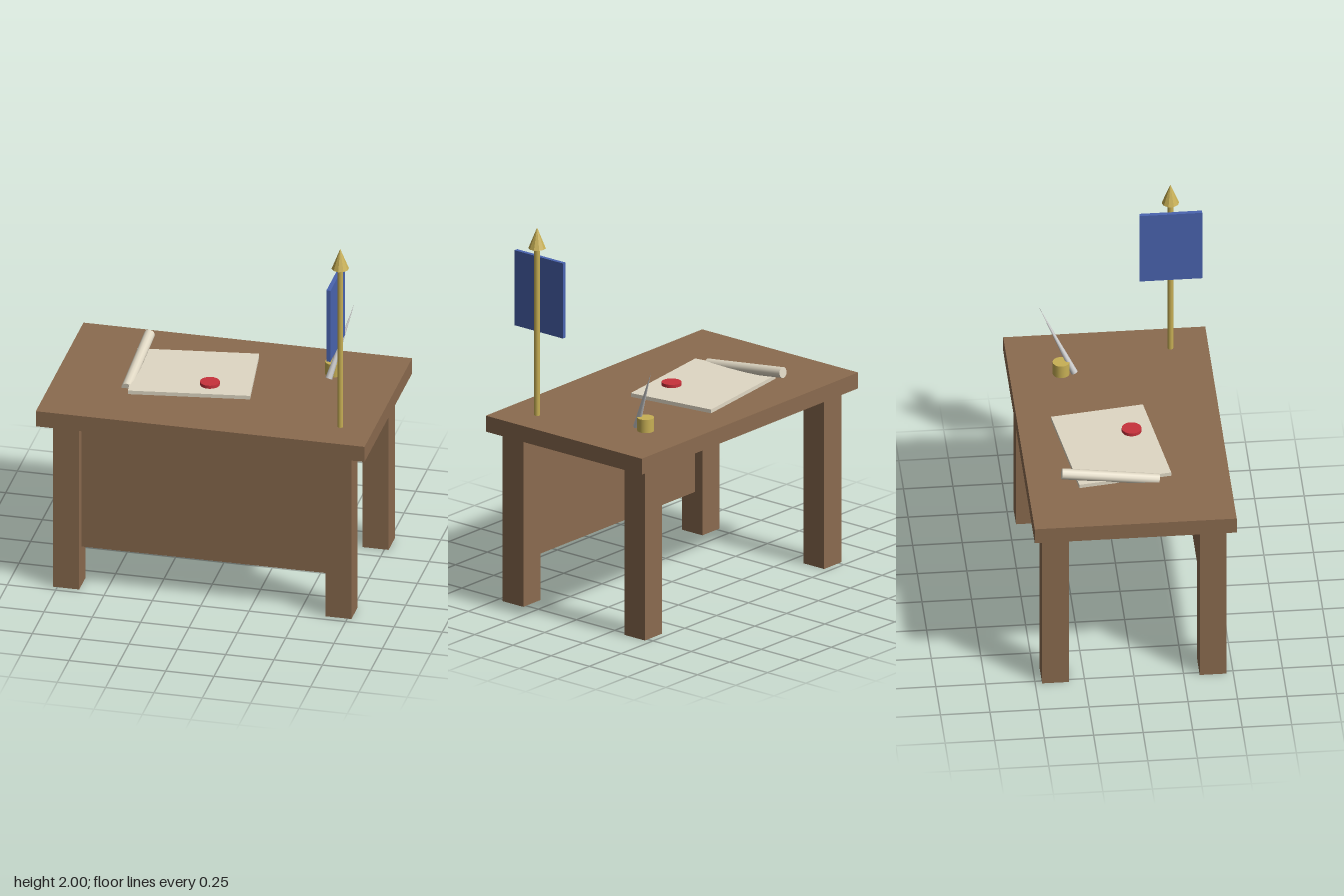
import * as THREE from 'three';

const paint = (color, flatShading = false) => new THREE.MeshStandardMaterial({ color, flatShading });

export function createModel() {
  const model = new THREE.Group();
  model.name = 'writingDesk';
  const wood = paint(0x8b6b4f);
  const parchment = paint(0xe0d8c4);
  const brass = paint(0xc8b055);
  const facetedBrass = paint(0xc8b055, true);
  const wax = paint(0xc8323c);
  const cloth = paint(0x4a64b0);
  const feather = paint(0xcccccc);

  const add = (name, geometry, material, x, y, z) => {
    const mesh = new THREE.Mesh(geometry, material);
    mesh.name = name;
    mesh.position.set(x, y, z);
    model.add(mesh);
    return mesh;
  };
  const box = (name, material, w, h, d, x, y, z) =>
    add(name, new THREE.BoxGeometry(w, h, d), material, x, y, z);
  const rod = (name, material, r, h, sides, x, y, z) =>
    add(name, new THREE.CylinderGeometry(r, r, h, sides), material, x, y, z);

  // Desk: top, four legs and the front panel set between the front legs
  box('tableTop', wood, 1.7, 0.085, 1.02, 0, 0.9575, 0);
  for (const sx of [1, -1]) {
    for (const sz of [1, -1]) {
      const name = (sz > 0 ? 'front' : 'back') + (sx > 0 ? 'Left' : 'Right') + 'Leg';
      box(name, wood, 0.135, 0.915, 0.135, sx * 0.704, 0.4575, sz * 0.398);
    }
  }
  box('frontPanel', wood, 1.29, 0.68, 0.04, 0, 0.56, 0.4);

  // Sheet turned on the desk, with a wax seal
  box('sheet', parchment, 0.617, 0.02, 0.475, -0.172, 1.011, -0.061).rotation.y = 0.14;
  rod('waxSeal', wax, 0.05, 0.022, 24, -0.06, 1.027, 0.053);

  // Rolled scroll, its front end resting lower than its back end
  rod('scroll', parchment, 0.028, 0.495, 12, -0.467, 1.032, -0.092).rotation.x = Math.PI / 2 + 0.13;

  // Inkwell and leaning quill
  rod('inkwell', brass, 0.043, 0.07, 20, 0.507, 1.035, -0.25);
  const foot = new THREE.Vector3(0.498, 1.005, -0.183);
  const tip = new THREE.Vector3(0.59, 1.357, -0.355);
  const lean = tip.clone().sub(foot);
  const middle = foot.clone().add(tip).multiplyScalar(0.5);
  const quill = add('quill', new THREE.ConeGeometry(0.018, lean.length(), 8), feather, ...middle);
  quill.quaternion.setFromUnitVectors(new THREE.Vector3(0, 1, 0), lean.normalize());

  // Standing banner: pole, finial and cloth
  rod('bannerPole', brass, 0.015, 0.9, 10, 0.678, 1.45, 0.318);
  add('finial', new THREE.ConeGeometry(0.044, 0.11, 10), facetedBrass, 0.678, 1.945, 0.318);
  box('banner', cloth, 0.021, 0.4, 0.316, 0.655, 1.64, 0.318);

  return model;
}
